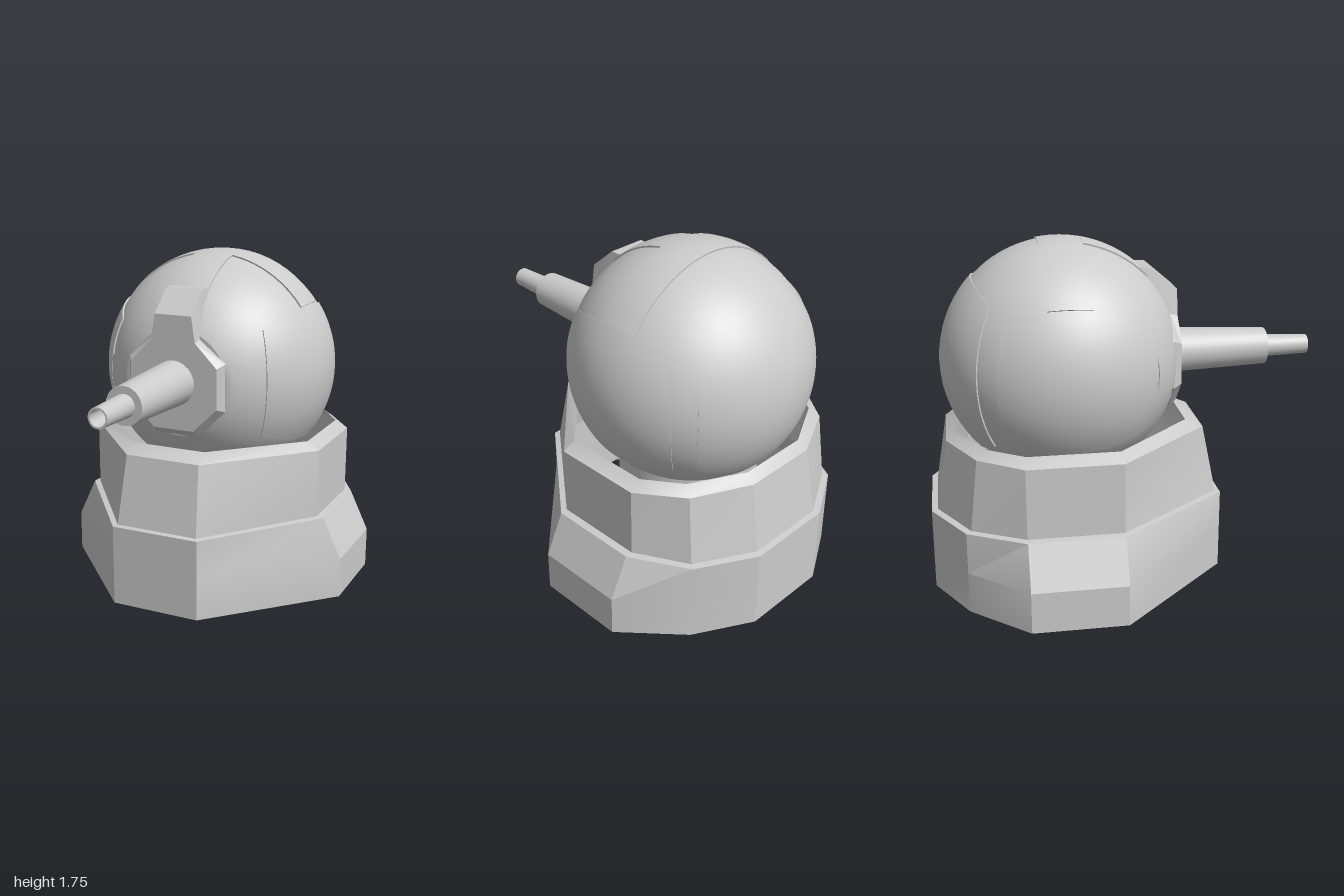
import * as THREE from 'three';
import { toCreasedNormals } from 'three/addons/utils/BufferGeometryUtils.js';

const R = 0.614;                                   // outer radius of the ball plating
const CENTRE = new THREE.Vector3(0, 1.138, -0.31); // centre of the ball
const FRONT = 0.54;                                // ball is cut flat this far in front of its centre
const lerp = THREE.MathUtils.lerp;

const material = new THREE.MeshStandardMaterial({ color: 0xcccccc, side: THREE.DoubleSide });

function addMesh(parent, name, geometry, crease) {
  const mesh = new THREE.Mesh(crease ? toCreasedNormals(geometry, crease) : geometry, material);
  mesh.name = name;
  parent.add(mesh);
  return mesh;
}

function indexed(positions, index) {
  const g = new THREE.BufferGeometry();
  g.setAttribute('position', new THREE.Float32BufferAttribute(positions, 3));
  g.setIndex(index);
  return g;
}

// Skin between closed loops that run counter-clockwise seen from their far end
function loft(loops) {
  const n = loops[0].length, index = [];
  for (let k = 0; k + 1 < loops.length; k++) {
    for (let i = 0; i < n; i++) {
      const a = k * n + i, b = k * n + (i + 1) % n;
      index.push(a, b, b + n, a, b + n, a + n);
    }
  }
  return indexed(loops.flat(2), index);
}

// Ten-cornered outline of the base: half of it as [x, z], mirrored
function baseLoop(y, half) {
  const right = half.map(([x, z]) => [x, y, z]);
  const left = half.map(([x, z]) => [-x, y, z]).reverse();
  return [...right, ...left];
}

// Curved plate on the ball with a skirt that drops into the shell
function ballPlate(direction, n = 20) {
  const positions = [], index = [], w = n + 3, p = new THREE.Vector3();
  for (let i = -1; i <= n + 1; i++) {
    for (let j = -1; j <= n + 1; j++) {
      const u = THREE.MathUtils.clamp(i / n, 0, 1), v = THREE.MathUtils.clamp(j / n, 0, 1);
      const skirt = i < 0 || j < 0 || i > n || j > n;
      p.set(...direction(u, v)).setLength(skirt ? 0.59 : R);
      p.z = Math.min(p.z, FRONT + 0.005);
      positions.push(p.x, p.y, p.z);
    }
  }
  // choose the winding that faces outward
  const at = k => new THREE.Vector3().fromArray(positions, k * 3);
  const m = (n >> 1) * w + (n >> 1), o = at(m);
  const outward = at(m + w).sub(o).cross(at(m + 1).sub(o)).dot(o) > 0;
  for (let i = 0; i < w - 1; i++) {
    for (let j = 0; j < w - 1; j++) {
      const a = i * w + j, b = a + w, c = b + 1, d = a + 1;
      if (outward) index.push(a, b, c, a, c, d);
      else index.push(a, c, b, a, d, c);
    }
  }
  return indexed(positions, index);
}

export function createModel() {
  const model = new THREE.Group();
  model.name = 'ballTurret';

  // Lower and upper base rings, hollow and open below
  const low = x => [[0.235, 0.495], [x, -0.08], [x, -0.55], [0.53, -0.835], [0.235, -1]];
  const upperFoot = [[0.22, 0.47], [0.65, -0.08], [0.65, -0.55], [0.51, -0.81], [0.22, -0.97]];
  const upperTop = [[0.2, 0.4], [0.65, -0.08], [0.65, -0.55], [0.49, -0.77], [0.2, -0.91]];
  const rim = [[0.19, 0.31], [0.585, -0.09], [0.585, -0.54], [0.46, -0.72], [0.19, -0.86]];
  addMesh(model, 'lowerBase', loft([
    baseLoop(0, low(0.787)), baseLoop(0.21, low(0.787)),
    baseLoop(0.42, low(0.687)), baseLoop(0.425, upperFoot),
  ]), 0.4);
  addMesh(model, 'upperBase', loft([
    baseLoop(0.425, upperFoot), baseLoop(0.78, upperTop), baseLoop(0.82, rim),
  ]), 0.4);

  // Pedestal under the ball
  const pedestal = addMesh(model, 'pedestal', new THREE.CylinderGeometry(0.36, 0.36, 0.25, 32));
  pedestal.position.set(0, 0.595, CENTRE.z);

  // Ball: shell cut flat at the front, with raised plates
  const ball = new THREE.Group();
  ball.name = 'ball';
  ball.position.copy(CENTRE);
  model.add(ball);
  const shellR = 0.606, cut = Math.acos(FRONT / shellR);
  const shell = new THREE.SphereGeometry(shellR, 64, 40, 0, Math.PI * 2, cut, Math.PI - cut);
  addMesh(ball, 'shell', shell.rotateX(Math.PI / 2));
  const face = addMesh(ball, 'shellFace', new THREE.CircleGeometry(shellR * Math.sin(cut), 64));
  face.position.z = FRONT;

  for (const s of [1, -1]) {
    addMesh(ball, 'sidePlate', ballPlate((u, v) => [s, lerp(-0.69, 0.69, u), lerp(-0.69, 0.97, v)]), 0.5);
    addMesh(ball, 'sideStrap', ballPlate((u, v) => {
      const x = lerp(0.435, 0.25, v), h = lerp(0.085, 0.122, v), y = lerp(-h, h, u);
      return [s * x, y, Math.sqrt(R * R - x * x - y * y)];
    }, 8), 0.5);
  }
  addMesh(ball, 'topBand', ballPlate((u, v) => {
    const a = lerp(0.62, Math.PI - 0.62, u);
    return [Math.cos(a), Math.sin(a), lerp(-0.18, 0.18, v)];
  }), 0.5);
  addMesh(ball, 'frontStrap', ballPlate((u, v) => {
    const b = lerp(0.18, 0.8, v);
    return [lerp(-0.175, 0.175, u), Math.cos(b), Math.sin(b)];
  }), 0.5);
  addMesh(ball, 'backPlate', ballPlate((u, v) => [lerp(-0.96, 0.96, u), lerp(-0.96, 0.96, v), -1]), 0.5);

  // Gun mount: flat face flaring back onto the ball
  const mirrored = half => [...half, ...half.map(([x, y, z]) => [-x, y, z]).reverse()];
  const mountFace = mirrored([[0.11, 0.905, 0.275], [0.237, 1.03, 0.275], [0.237, 1.235, 0.275],
    [0.12, 1.355, 0.275], [0.1, 1.485, 0.275]]);
  const mountEdge = mirrored([[0.12, 0.87, 0.235], [0.265, 1.015, 0.235], [0.265, 1.255, 0.235],
    [0.127, 1.365, 0.235], [0.1, 1.6, 0.14]]);
  const mountRoot = mountEdge.map(([x, y, z]) => [x, y, z - 0.12]);
  addMesh(model, 'gunMount', loft([mountRoot, mountEdge, mountFace]), 0.3);
  const faceShape = new THREE.Shape(mountFace.map(([x, y]) => new THREE.Vector2(x, y)));
  addMesh(model, 'gunMountFace', new THREE.ShapeGeometry(faceShape)).position.z = 0.275;

  // Barrel with a hollow muzzle
  const profile = [[0.117, 0.25], [0.095, 0.768], [0.058, 0.768], [0.05, 1], [0.041, 1], [0.038, 0.82], [0, 0.82]];
  const barrel = new THREE.LatheGeometry(profile.map(([r, z]) => new THREE.Vector2(r, z)), 24);
  addMesh(model, 'barrel', barrel.rotateX(Math.PI / 2), 0.5).position.y = 1.143;

  return model;
}
